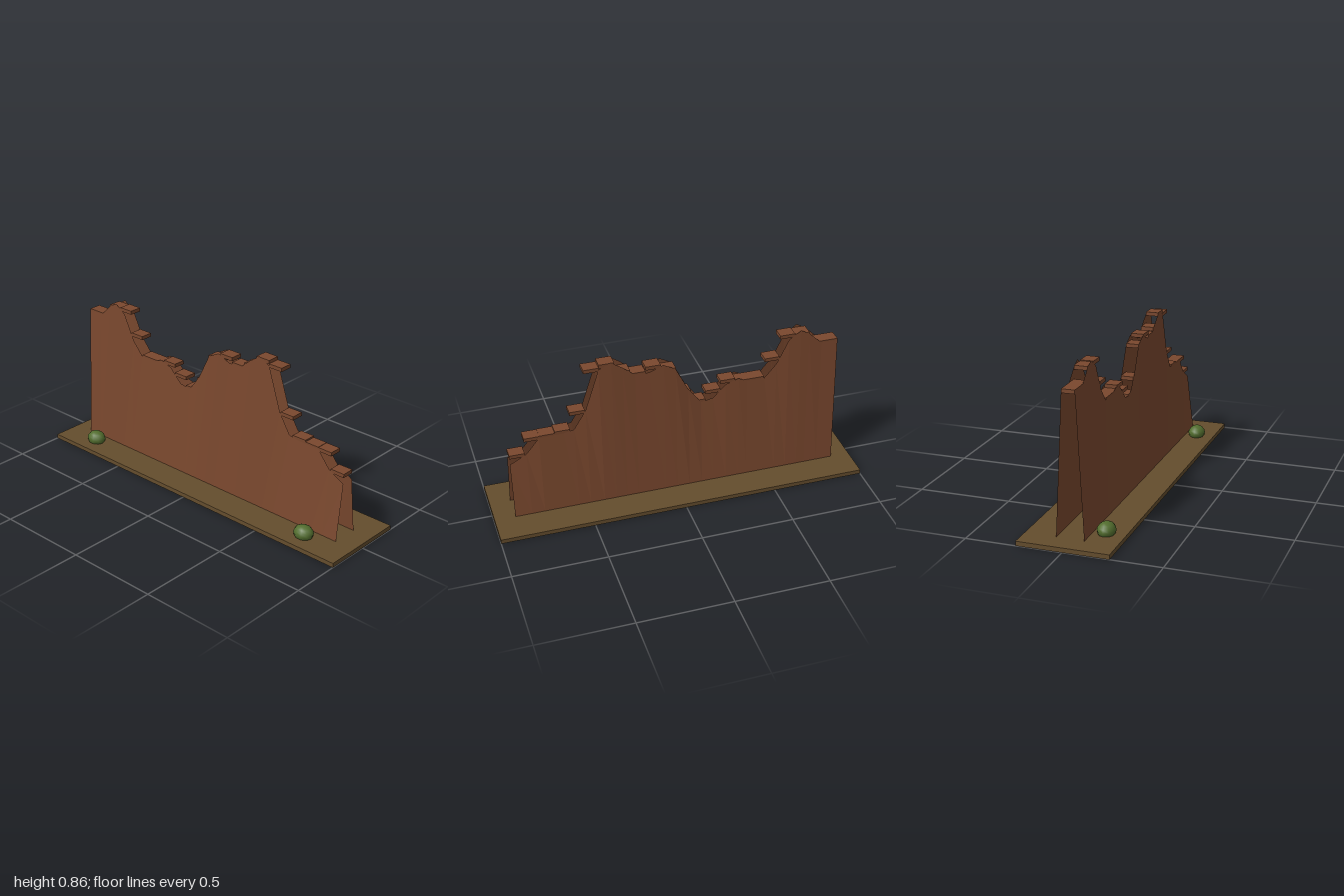
import * as THREE from 'three';

const brown = new THREE.MeshStandardMaterial({ name: 'rusty brown', color: 0x7a482e, side: THREE.DoubleSide, flatShading: true });
const earth = new THREE.MeshStandardMaterial({ name: 'earth', color: 0x644d2d });
const leaf = new THREE.MeshStandardMaterial({ name: 'leaf green', color: 0x526d2e });

// Skyline of the walls: x, height
const skyline = [
  [-0.895, 0.76], [-0.805, 0.76], [-0.73, 0.83], [-0.685, 0.855], [-0.62, 0.81], [-0.555, 0.675],
  [-0.49, 0.6], [-0.395, 0.6], [-0.345, 0.625], [-0.275, 0.6], [-0.205, 0.53], [-0.14, 0.517],
  [-0.07, 0.61], [0, 0.75], [0.065, 0.785], [0.14, 0.755], [0.215, 0.755], [0.28, 0.81],
  [0.34, 0.85], [0.405, 0.82], [0.48, 0.59], [0.545, 0.485], [0.6, 0.473], [0.73, 0.47],
  [0.8, 0.385], [0.89, 0.335],
];
const BASE_TOP = 0.024, FOOT_Z = 0.072, TOP_Z = 0.034;

function heightAt(x) {
  for (let i = 1; i < skyline.length; i++) {
    const [x0, y0] = skyline[i - 1], [x1, y1] = skyline[i];
    if (x <= x1) return y0 + (y1 - y0) * (x - x0) / (x1 - x0);
  }
  return skyline[skyline.length - 1][1];
}

// Thin sheet leaning inwards from its foot to the skyline
function wallGeometry(side) {
  const points = [], index = [];
  skyline.forEach(([x, h], i) => {
    points.push(x, BASE_TOP, side * FOOT_Z, x, h, side * TOP_Z);
    if (i === 0) return;
    const a = 2 * (i - 1), b = a + 1, c = a + 2, d = a + 3;
    if (side > 0) index.push(a, c, d, a, d, b);
    else index.push(a, d, c, a, b, d);
  });
  const g = new THREE.BufferGeometry();
  g.setAttribute('position', new THREE.Float32BufferAttribute(points, 3));
  g.setIndex(index);
  g.computeVertexNormals();
  return g;
}

export function createModel() {
  const model = new THREE.Group();
  const add = (name, geometry, material, x = 0, y = 0, z = 0) => {
    const mesh = new THREE.Mesh(geometry, material);
    mesh.name = name;
    mesh.position.set(x, y, z);
    model.add(mesh);
    return mesh;
  };

  add('groundSlab', new THREE.BoxGeometry(2, BASE_TOP, 0.475), earth, 0, BASE_TOP / 2, 0);
  add('frontWall', wallGeometry(1), brown);
  add('backWall', wallGeometry(-1), brown);

  // Level treads following the skyline between the walls
  const count = 22, left = -0.895, width = 1.785 / count;
  const treadGeometry = new THREE.BoxGeometry(width, 0.02, TOP_Z * 2);
  for (let i = 0; i < count; i++) {
    const x = left + i * width;
    add('tread', treadGeometry, brown, x + width / 2, heightAt(x), 0);
  }

  // Bushes at the foot of the front wall
  const bushGeometry = new THREE.SphereGeometry(1, 10, 8);
  for (const x of [-0.773, 0.738]) {
    add('bush', bushGeometry, leaf, x, 0.045, 0.14).scale.set(0.055, 0.042, 0.047);
  }
  return model;
}
